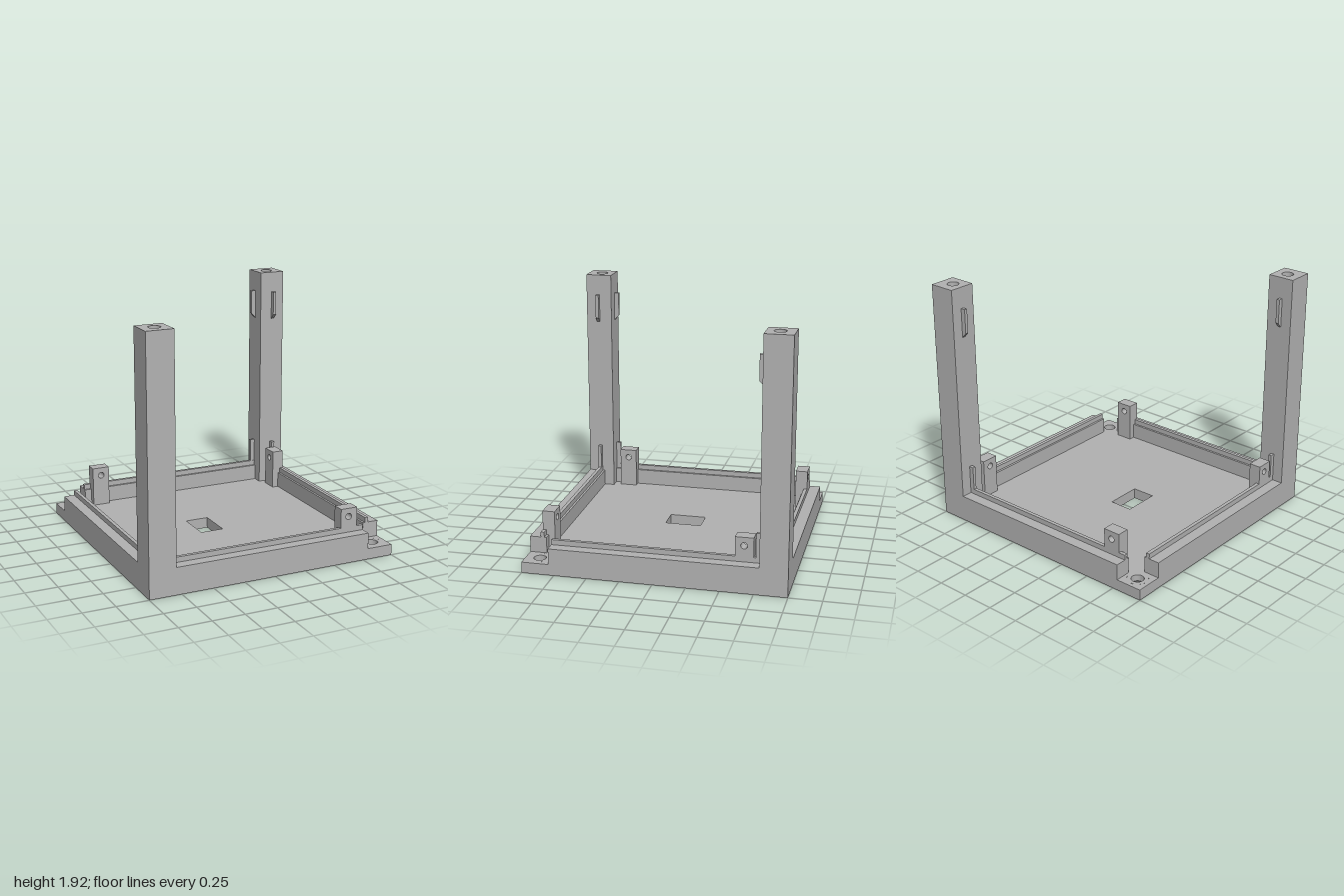
import * as THREE from 'three';
import { toCreasedNormals } from 'three/addons/utils/BufferGeometryUtils.js';

const grey = new THREE.MeshStandardMaterial({ color: 0xb2b2b2 });
grey.name = 'plain grey';

const FLOOR = 0.085, EDGE = 0.79, TOP = 1.92, BORE = 0.89, RIB = 0.025;

function add(parent, name, geometry) {
  const mesh = new THREE.Mesh(toCreasedNormals(geometry, 0.5), grey);
  mesh.name = name;
  parent.add(mesh);
  return mesh;
}

const polygon = (points) => new THREE.Shape(points.map(([x, y]) => new THREE.Vector2(x, y)));
const rect = (x0, y0, x1, y1) => polygon([[x0, y0], [x1, y0], [x1, y1], [x0, y1]]);
const circle = (x, y, r) => new THREE.Path().absarc(x, y, r, 0, Math.PI * 2, true);
const extrude = (shape, depth) =>
  new THREE.ExtrudeGeometry(shape, { depth, bevelEnabled: false, curveSegments: 32 });

// Extrudes a plan (x, -z) upwards from height y
const extrudeUp = (shape, y, height) => extrude(shape, height).rotateX(-Math.PI / 2).translate(0, y, 0);

function makeBase() {
  const base = new THREE.Group();
  base.name = 'base';
  const plan = rect(-1, -1, 1, 1);
  plan.holes.push(rect(-0.2, -0.14, -0.015, 0.145));
  plan.holes.push(circle(BORE, -BORE, 0.08), circle(-BORE, BORE, 0.08));
  add(base, 'floorPlate', extrudeUp(plan, 0, FLOOR));

  // Countersunk screw holes in the two open corners
  for (const s of [1, -1]) {
    const profile = [[0.08, FLOOR], [0.048, FLOOR], [0.048, 0.035], [0.08, 0]];
    const sink = new THREE.LatheGeometry(profile.map(([x, y]) => new THREE.Vector2(x, y)), 32);
    add(base, 'countersunkHole', sink).position.set(s * BORE, 0, s * BORE);
  }
  return base;
}

// Low wall with a raised lip, plus a drilled tab
function makeSide() {
  const side = new THREE.Group();
  side.name = 'side';
  const section = polygon([
    [0.87, FLOOR], [1, FLOOR], [1, 0.21], [0.915, 0.21],
    [0.915, 0.25], [0.887, 0.25], [0.887, 0.21], [0.87, 0.21],
  ]);
  add(side, 'wall', extrude(section, 2 * EDGE).translate(0, 0, -EDGE).rotateY(-Math.PI / 2));

  const tab = rect(0.597, FLOOR, 0.735, 0.4);
  tab.holes.push(circle(0.664, 0.335, 0.025));
  add(side, 'drilledTab', extrude(tab, 0.095).translate(0, 0, 0.82));
  return side;
}

// Corner post with a blind bore and guide ribs on both inner faces
function makePost() {
  const post = new THREE.Group();
  post.name = 'cornerPost';
  const boreBottom = 1.5;
  add(post, 'postShaft', extrudeUp(rect(-1, -1, -EDGE, -EDGE), FLOOR, boreBottom - FLOOR));
  const drilled = rect(-1, -1, -EDGE, -EDGE);
  drilled.holes.push(circle(-BORE, -BORE, 0.045));
  add(post, 'postTop', extrudeUp(drilled, boreBottom, TOP - boreBottom));

  const out = 0.037;
  const upper = polygon([[0, 1.525], [out, 1.565], [out, 1.755], [0, 1.755]]);
  const lower = rect(0, 0.2, out, 0.44);
  const ribLine = 0.9025;
  for (const [name, shape] of [['upperRib', upper], ['lowerRib', lower]]) {
    const make = () => extrude(shape, RIB).translate(0, 0, -RIB / 2);
    add(post, name, make()).position.set(-EDGE, 0, ribLine);
    const turned = add(post, name, make());
    turned.rotation.y = Math.PI / 2;
    turned.position.set(-ribLine, 0, EDGE);
  }
  return post;
}

export function createModel() {
  const model = new THREE.Group();
  model.name = 'openFrameBase';
  model.add(makeBase());

  // Four identical sides, two opposite posts
  for (let i = 0; i < 4; i++) {
    const side = makeSide();
    side.rotation.y = (i * Math.PI) / 2;
    model.add(side);
  }
  for (let i = 0; i < 2; i++) {
    const post = makePost();
    post.rotation.y = i * Math.PI;
    model.add(post);
  }
  return model;
}
